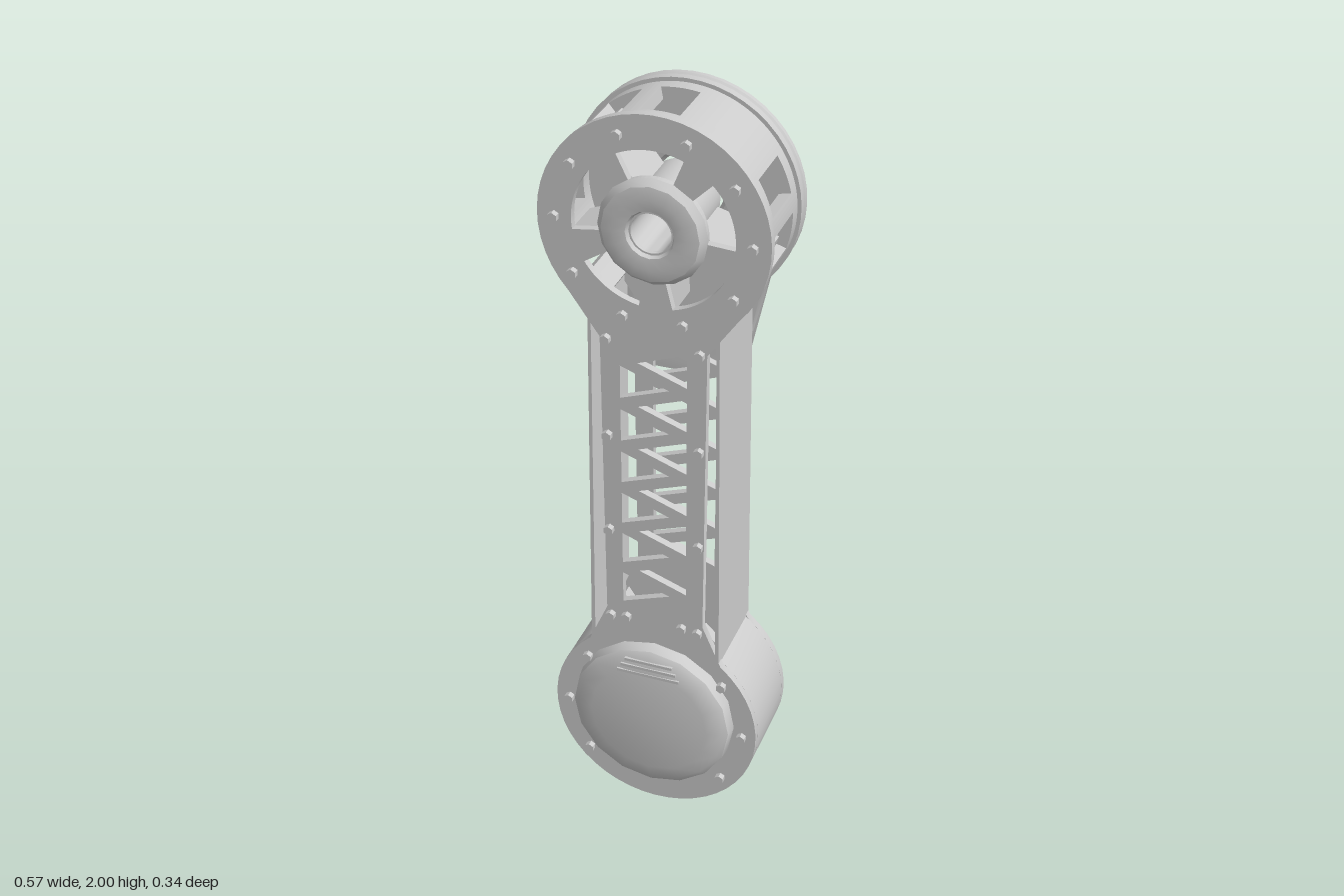
import * as THREE from 'three';
import { toCreasedNormals } from 'three/addons/utils/BufferGeometryUtils.js';

const TOP = 1.72, LOW = 0.29, R = 0.28;
const rad = THREE.MathUtils.degToRad;

export function createModel() {
  const model = new THREE.Group();
  const grey = new THREE.MeshStandardMaterial({ color: 0xcccccc, side: THREE.DoubleSide });

  function add(name, geometry, parent = model) {
    const mesh = new THREE.Mesh(toCreasedNormals(geometry, 0.6), grey);
    mesh.name = name;
    parent.add(mesh);
    return mesh;
  }
  function group(name) {
    const g = new THREE.Group();
    g.name = name;
    model.add(g);
    return g;
  }
  // flat shape given thickness from z0 to z1
  function slab(name, shape, z0, z1, parent) {
    const g = new THREE.ExtrudeGeometry(shape, { depth: z1 - z0, bevelEnabled: false, curveSegments: 18 });
    return add(name, g.translate(0, 0, z0), parent);
  }
  // ring segment between two angles (degrees)
  function sector(y, r0, r1, a0, a1) {
    const s = new THREE.Shape();
    s.absarc(0, y, r1, rad(a0), rad(a1), false);
    s.absarc(0, y, r0, rad(a1), rad(a0), true);
    s.closePath();
    return s;
  }
  function circle(y, r) {
    return new THREE.Path().absarc(0, y, r, 0, Math.PI * 2, true);
  }
  function polygon(y, r, n) {
    return new THREE.Path(Array.from({ length: n }, (_, i) => {
      const a = (i + 0.5) / n * Math.PI * 2;
      return new THREE.Vector2(r * Math.cos(a), y + r * Math.sin(a));
    }));
  }
  function points(list) {
    return list.map(([x, y]) => new THREE.Vector2(x, y));
  }
  function ring(y, r0, r1) {
    const s = new THREE.Shape().absarc(0, y, r1, 0, Math.PI * 2, false);
    s.holes.push(circle(y, r0));
    return s;
  }

  // bone-shaped plate: two discs joined by a truss strip
  function plateShape(side) {
    const s = new THREE.Shape();
    s.moveTo(0.13, 0.62);
    s.lineTo(0.135, 1.42);
    s.absarc(0, TOP, R + 0.005, rad(-42), rad(222), false);
    s.lineTo(-0.135, 1.42);
    s.lineTo(-0.13, 0.62);
    s.absarc(0, LOW, R, rad(130), rad(410), false);
    s.closePath();
    // zigzag of triangular truss openings
    for (let i = 0; i < 6; i++) {
      const y = 0.65 + i * 0.122;
      s.holes.push(new THREE.Path(points(
        [[-0.085 * side, y], [-0.085 * side, y + 0.09], [0.04 * side, y + 0.045]])));
      s.holes.push(new THREE.Path(points(
        [[0.085 * side, y + 0.061], [0.085 * side, y + 0.151], [-0.04 * side, y + 0.106]])));
    }
    return s;
  }

  // front plate with spoked upper disc
  const front = plateShape(1);
  front.holes.push(circle(TOP, 0.06));
  for (let i = 0; i < 5; i++) {
    front.holes.push(sector(TOP, 0.13, 0.2, 72 * i - 4, 72 * i + 44));
  }
  slab('frontPlate', front, 0.09, 0.11);

  // back plate with the upper bore and lower polygonal pocket
  const back = plateShape(-1);
  back.holes.push(circle(TOP, 0.11), polygon(LOW + 0.01, 0.13, 8));
  slab('backPlate', back, -0.13, -0.11);

  // upper drum wall: solid posts between framed windows
  const upper = group('upperDrum');
  const half = 10;
  let last = -58;
  for (const a of [-36, -8, 22, 90, 120, 150, 180, 212]) {
    slab('drumPost', sector(TOP, 0.245, 0.275, last, a - half), -0.11, 0.09, upper);
    slab('windowRailFront', sector(TOP, 0.245, 0.275, a - half, a + half), 0.06, 0.09, upper);
    slab('windowRailBack', sector(TOP, 0.245, 0.275, a - half, a + half), -0.11, -0.075, upper);
    last = a + half;
  }
  slab('drumPost', sector(TOP, 0.245, 0.275, last, 238), -0.11, 0.09, upper);

  // upper bearing
  slab('upperHub', ring(TOP, 0.05, 0.09), -0.1, 0.12);
  const collar = new THREE.LatheGeometry(points(
    [[0.135, 0], [0.12, 0.018], [0.09, 0.024], [0.06, 0.02], [0.05, 0]]), 16);
  add('upperHubCollar', collar.rotateX(Math.PI / 2).translate(0, TOP, 0.11));
  for (let i = 0; i < 5; i++) {
    const rib = add('hubRib', new THREE.BoxGeometry(0.17, 0.025, 0.15), upper);
    const a = rad(72 * i + 56);
    rib.position.set(0.165 * Math.cos(a), TOP + 0.165 * Math.sin(a), -0.01);
    rib.rotation.z = a;
  }

  // lower drum wall
  slab('lowerDrum', sector(LOW, 0.25, 0.28, 124, 416), -0.11, 0.09);

  // side walls, wider at the foot
  for (const s of [-1, 1]) {
    const wall = new THREE.Shape(points(
      [[0.165 * s, 1.49], [0.157 * s, 1.49], [0.165 * s, 0.51], [0.175 * s, 0.51]]));
    slab(s > 0 ? 'leftWall' : 'rightWall', wall, -0.13, 0.11);
  }

  // back cap: domed teardrop that thins out down its tail
  const cap = new THREE.Shape();
  cap.moveTo(-0.115, 1.25);
  cap.lineTo(0.115, 1.25);
  cap.absarc(0, TOP, 0.25, rad(-46), rad(226), false);
  cap.closePath();
  cap.holes.push(circle(TOP, 0.12));
  const capGeo = new THREE.ExtrudeGeometry(cap, {
    depth: 0.012, bevelThickness: 0.018, bevelSize: 0.034, bevelSegments: 2, curveSegments: 18 });
  capGeo.translate(0, 0, -0.157);
  const p = capGeo.attributes.position;
  for (let i = 0; i < p.count; i++) {
    const t = THREE.MathUtils.clamp((p.getY(i) - 1.22) / 0.24, 0.05, 1);
    p.setZ(i, -0.13 + (p.getZ(i) + 0.13) * t);
  }
  add('backCap', capGeo);

  // front cover, a flat disc with a chamfered rim
  const cover = new THREE.LatheGeometry(points(
    [[0.22, 0], [0.215, 0.035], [0.2, 0.045], [0.16, 0.053], [0, 0.055]]), 16);
  add('frontCover', cover.rotateX(Math.PI / 2).translate(0, 0.315, 0.108));
  for (let i = 0; i < 3; i++) {
    const vent = add('ventRib', new THREE.BoxGeometry(0.17 - i * 0.02, 0.008, 0.01));
    vent.position.set(0, 0.465 + i * 0.018, 0.158 - i * 0.002);
  }

  // lower back pocket: sunken floor, hub and ribs
  const pocket = group('backPocket');
  slab('pocketFloor', new THREE.Shape(polygon(LOW + 0.01, 0.15, 8).getPoints()), -0.085, -0.07, pocket);
  const rim = new THREE.Shape(polygon(LOW + 0.01, 0.17, 8).getPoints());
  rim.holes.push(polygon(LOW + 0.01, 0.13, 8));
  slab('pocketRim', rim, -0.137, -0.08, pocket);
  slab('pocketHub', ring(LOW + 0.01, 0.025, 0.05), -0.12, -0.08, pocket);
  for (let i = 0; i < 6; i++) {
    const a = i * Math.PI / 3;
    const rib = add('pocketRib', new THREE.BoxGeometry(0.08, 0.012, 0.025), pocket);
    rib.position.set(0.085 * Math.cos(a), LOW + 0.01 + 0.085 * Math.sin(a), -0.097);
    rib.rotation.z = a;
  }

  // bolts along the strip and around both discs
  const bolts = group('bolts');
  const boltGeo = new THREE.CylinderGeometry(0.013, 0.013, 0.018, 6).rotateX(Math.PI / 2);
  function bolt(x, y, z) {
    add('bolt', boltGeo, bolts).position.set(x, y, z);
  }
  for (const z of [0.117, -0.137]) {
    for (const x of [-1, 1]) {
      for (const y of [0.6, 0.87, 1.15, 1.42]) bolt(x * 0.118, y, z);
      bolt(x * 0.075, 0.605, z);
      bolt(x * 0.075, 1.49, z > 0 ? z : -0.171);
    }
    for (const a of [0, 35, 70, 110, 145, 180, 215, 325]) {
      bolt(0.242 * Math.cos(rad(a)), TOP + 0.242 * Math.sin(rad(a)), z > 0 ? z : -0.171);
    }
    for (const a of [0, 40, 140, 180, 220, 320]) {
      bolt(0.242 * Math.cos(rad(a)), LOW + 0.242 * Math.sin(rad(a)), z);
    }
  }
  return model;
}
